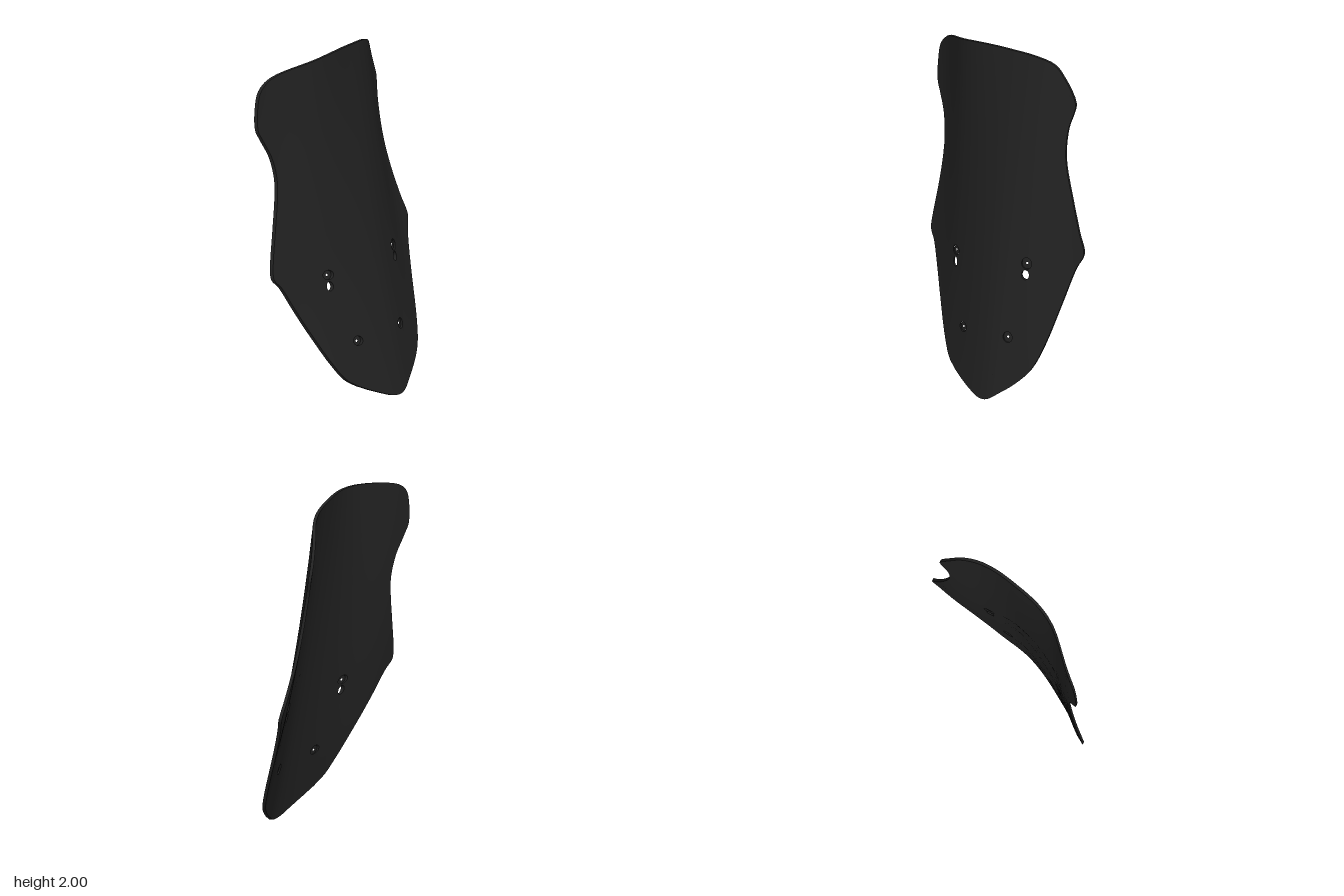
import * as THREE from 'three';

const THICK = 0.018;

// Bent sheet: x = a(z) + b(z) y + c(z) y^2, with a, b, c interpolated smoothly along z
const bend = new THREE.CubicInterpolant(
  [-0.6, -0.45, -0.2, 0, 0.3, 0.5, 0.6],
  [
    0.475, -0.298, 0.05,
    0.451, -0.298, 0.05,
    0.387, -0.21, 0.028,
    0.335, -0.203, 0.028,
    0.1325, -0.219, 0.054,
    -0.036, -0.275, 0.07,
    -0.12, -0.275, 0.07,
  ],
  3,
);
function sheetX(y, z) {
  const [a, b, c] = bend.evaluate(z);
  return a + b * y + c * y * y;
}
function sheetNormal(y, z) {
  const e = 0.01;
  return new THREE.Vector3(
    1,
    (sheetX(y - e, z) - sheetX(y + e, z)) / (2 * e),
    (sheetX(y, z - e) - sheetX(y, z + e)) / (2 * e),
  ).normalize();
}

// Outline of the panel as [z, y]
const OUTLINE = [
  [0.04, 0.003], [0.1, 0.02], [0.3, 0.125], [0.36, 0.22], [0.44, 0.42], [0.5, 0.59], [0.54, 0.7],
  [0.574, 0.755], [0.57, 0.82], [0.53, 1.02], [0.5, 1.2], [0.492, 1.32], [0.51, 1.45],
  [0.55, 1.55], [0.573, 1.61], [0.57, 1.74], [0.55, 1.83], [0.5, 1.89], [0.4, 1.94],
  [0.22, 1.985], [0, 2], [-0.2, 1.99], [-0.32, 1.95], [-0.38, 1.88], [-0.455, 1.74],
  [-0.448, 1.69], [-0.42, 1.6], [-0.41, 1.48], [-0.42, 1.38], [-0.47, 1.2], [-0.53, 1.02],
  [-0.57, 0.91], [-0.525, 0.82], [-0.45, 0.6], [-0.37, 0.37], [-0.3, 0.23], [-0.2, 0.13],
  [-0.1, 0.06], [-0.02, 0.01],
];
// Through slots and bolt recesses: z, y, half width, half height
const SLOTS = [[0.315, 0.675, 0.017, 0.027], [-0.216, 0.745, 0.024, 0.027]];
const RECESSES = [[0.315, 0.74, 0.027], [-0.22, 0.81, 0.032], [0.21, 0.345, 0.027], [-0.13, 0.38, 0.03]];

// Splits a triangle at its longest edge until every edge is short
function subdivide(tri, out) {
  const len = tri.map((p, i) => p.distanceToSquared(tri[(i + 1) % 3]));
  const i = len.indexOf(Math.max(...len));
  if (len[i] < 0.05 * 0.05) {
    out.push(tri);
    return;
  }
  const [a, b, c] = [tri[i], tri[(i + 1) % 3], tri[(i + 2) % 3]];
  const m = a.clone().add(b).multiplyScalar(0.5);
  subdivide([a, m, c], out);
  subdivide([m, b, c], out);
}

function panelGeometry() {
  const curve = new THREE.CatmullRomCurve3(OUTLINE.map(([z, y]) => new THREE.Vector3(-z, y, 0)), true);
  const shape = new THREE.Shape(curve.getPoints(156).slice(0, -1).map((p) => new THREE.Vector2(p.x, p.y)));
  for (const [z, y, rx, ry = rx] of [...SLOTS, ...RECESSES]) {
    const hole = new THREE.Path();
    hole.absellipse(-z, y, rx, ry, 0, Math.PI * 2, true);
    shape.holes.push(hole);
  }
  let flat = new THREE.ExtrudeGeometry(shape, { depth: THICK, bevelEnabled: false, curveSegments: 10 });
  if (flat.index) flat = flat.toNonIndexed();
  const src = flat.attributes.position;
  const tris = [];
  for (let i = 0; i < src.count; i += 3) {
    subdivide([0, 1, 2].map((k) => new THREE.Vector3().fromBufferAttribute(src, i + k)), tris);
  }

  // Bend the flat sheet; smooth normals on both faces, crisp rim
  const pos = [];
  const nor = [];
  for (const tri of tris) {
    const cap = tri[0].z === tri[1].z && tri[1].z === tri[2].z;
    const side = tri[0].z > THICK / 2 ? 1 : -1;
    const bent = tri.map((p) => new THREE.Vector3(sheetX(p.y, -p.x) + p.z - THICK, p.y, -p.x));
    const face = new THREE.Triangle(...bent).getNormal(new THREE.Vector3());
    for (const p of bent) {
      pos.push(p.x, p.y, p.z);
      const n = cap ? sheetNormal(p.y, p.z).multiplyScalar(side) : face;
      nor.push(n.x, n.y, n.z);
    }
  }
  const geo = new THREE.BufferGeometry();
  geo.setAttribute('position', new THREE.Float32BufferAttribute(pos, 3));
  geo.setAttribute('normal', new THREE.Float32BufferAttribute(nor, 3));
  return geo;
}

export function createModel() {
  const group = new THREE.Group();
  group.name = 'windscreen';
  const black = new THREE.MeshStandardMaterial({ color: 0x222222, side: THREE.DoubleSide });
  black.name = 'smoked black';

  const panel = new THREE.Mesh(panelGeometry(), black);
  panel.name = 'curvedPanel';
  group.add(panel);

  // Sunken washers with a small bolt hole, set inside the recesses
  for (const [z, y, r] of RECESSES) {
    const washer = new THREE.Mesh(new THREE.RingGeometry(0.007, r + 0.002, 20), black);
    washer.name = 'boltRecess';
    washer.position.set(sheetX(y, z) - THICK * 0.6, y, z);
    washer.quaternion.setFromUnitVectors(new THREE.Vector3(0, 0, 1), sheetNormal(y, z));
    group.add(washer);
  }
  return group;
}
